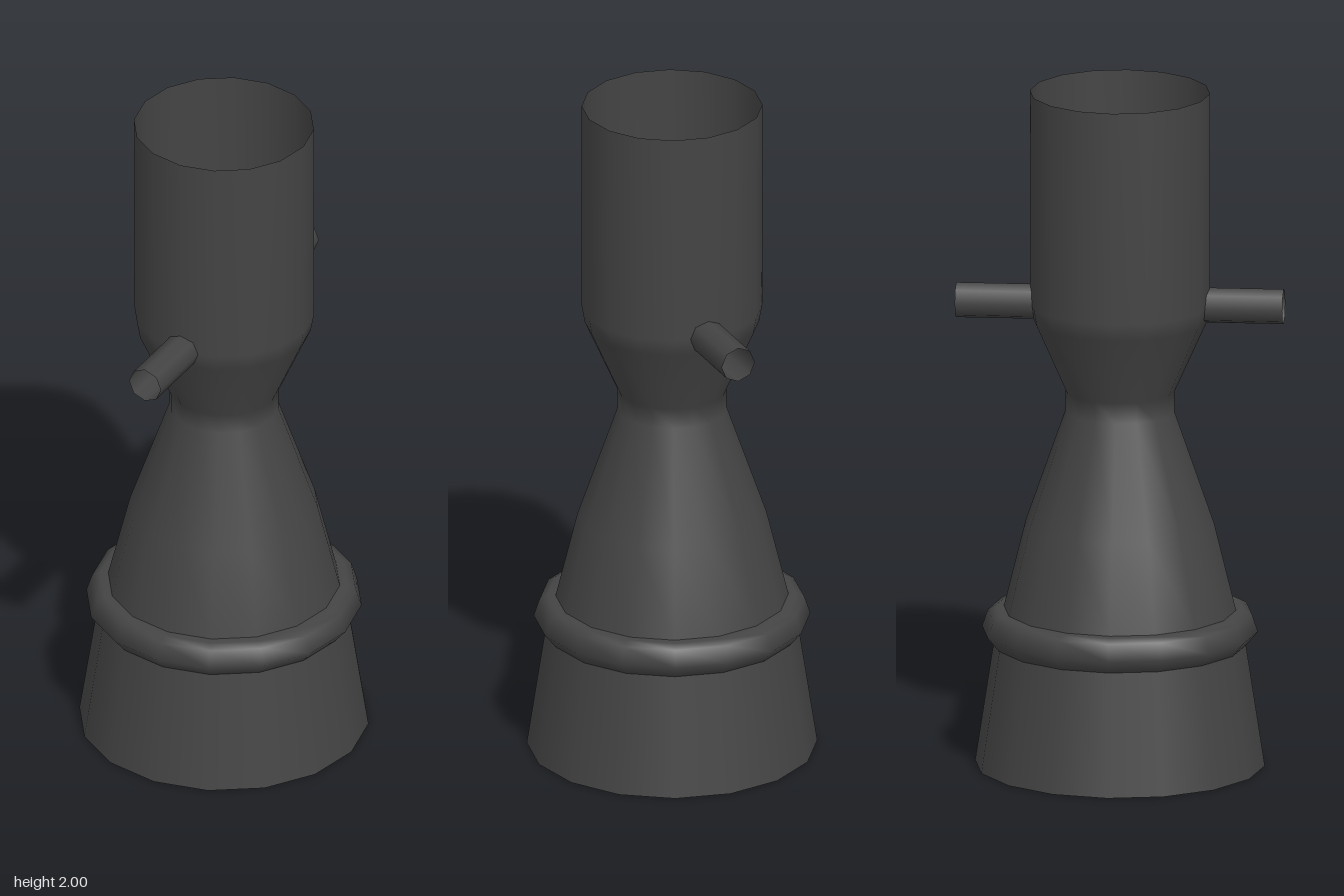
import * as THREE from 'three';

const SIDES = 16;

export function createModel() {
  const model = new THREE.Group();
  const metal = new THREE.MeshStandardMaterial({ color: 0x444444, side: THREE.DoubleSide });
  metal.name = 'darkMetal';

  const add = (name, geometry) => {
    const mesh = new THREE.Mesh(geometry, metal);
    mesh.name = name;
    model.add(mesh);
    return mesh;
  };
  // Revolve [radius, height] points around the vertical axis
  const lathe = (name, points) =>
    add(name, new THREE.LatheGeometry(points.map(([r, y]) => new THREE.Vector2(r, y)), SIDES));

  // Lower skirt below the collar
  lathe('skirt', [[0.42, 0], [0.362, 0.38]]);

  // Rounded collar around the bell
  lathe('collar', [[0.35, 0.36], [0.367, 0.36], [0.4, 0.4], [0.383, 0.45], [0.36, 0.462], [0.33, 0.462]]);

  // Bell, narrow throat and flare, then the open chamber tube
  lathe('bellAndChamber', [
    [0.345, 0.42], [0.337, 0.46], [0.273, 0.72], [0.158, 1.05], [0.158, 1.11],
    [0.252, 1.32], [0.261, 1.37], [0.261, 2],
  ]);

  // Flat plate closing the throat
  lathe('throatPlate', [[0.157, 1.08], [0, 1.08]]);

  // Flat bottom lip and the hollow inside of the bell
  lathe('bottomLip', [[0.37, 0], [0.42, 0]]);
  lathe('bellLining', [[0.14, 1.05], [0.255, 0.72], [0.32, 0.42], [0.37, 0]]);

  // Open cross pipe running front to back through the chamber
  const pipe = add('crossPipe', new THREE.CylinderGeometry(0.052, 0.052, 0.95, 8, 1, true));
  pipe.rotation.x = Math.PI / 2;
  pipe.position.y = 1.37;

  return model;
}
